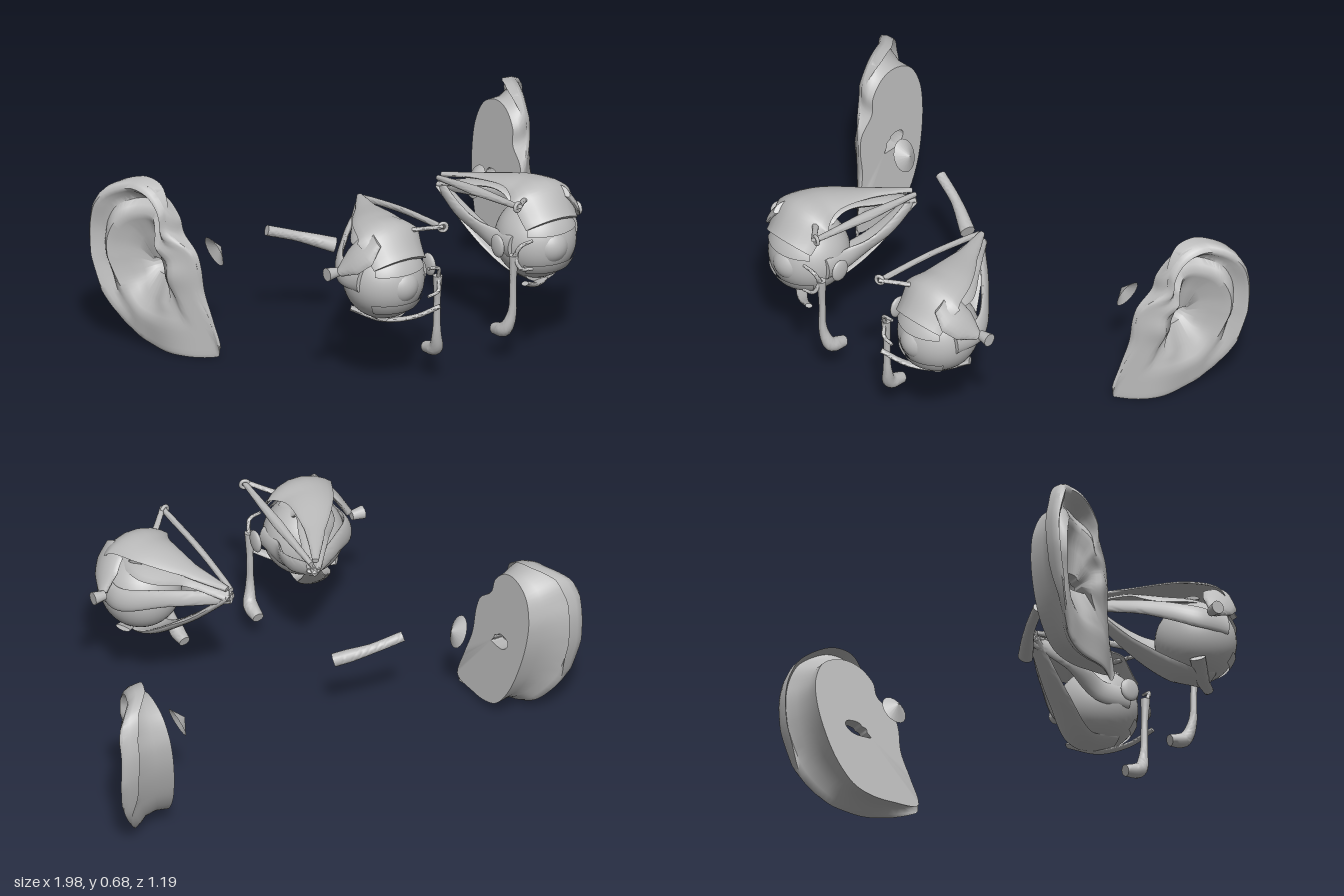
import * as THREE from 'three';
import { toCreasedNormals } from 'three/addons/utils/BufferGeometryUtils.js';

const EYE = new THREE.Vector3(0.35, 0.45, 0.43);
const APEX = new THREE.Vector3(0.18, 0.578, 0.045);
const V = (x, y, z) => new THREE.Vector3(x, y, z);
const step = THREE.MathUtils.smoothstep;

// Skin a list of equal-length closed rings into one surface
function loft(rings) {
  const n = rings[0].length, pos = [], idx = [];
  rings.forEach((r) => r.forEach((p) => pos.push(p.x, p.y, p.z)));
  for (let i = 0; i < rings.length - 1; i++) {
    for (let j = 0; j < n; j++) {
      const a = i * n + j, b = i * n + ((j + 1) % n);
      idx.push(a, b, a + n, b, b + n, a + n);
    }
  }
  const g = new THREE.BufferGeometry();
  g.setAttribute('position', new THREE.Float32BufferAttribute(pos, 3));
  g.setIndex(idx);
  return g;
}

// Strap or tube along a curve, bent around the eyeball across its width
function strap(points, widths, thick) {
  const curve = new THREE.CatmullRomCurve3(points);
  const rings = [], steps = 32, sides = 18, last = widths.length - 1;
  for (let i = 0; i <= steps; i++) {
    const u = i / steps, p = curve.getPoint(u), t = curve.getTangent(u);
    const k = Math.min(Math.floor(u * last), last - 1);
    const w = THREE.MathUtils.lerp(widths[k], widths[k + 1], u * last - k);
    const h = Math.min(w, thick), reach = p.distanceTo(EYE);
    const across = p.clone().sub(EYE).cross(t).normalize();
    const out = t.clone().cross(across);
    const ring = (s) => Array.from({ length: sides }, (_, j) => {
      const a = (j / sides) * Math.PI * 2, bend = (w * s * Math.cos(a)) / reach;
      return p.clone().addScaledVector(across, reach * Math.sin(bend))
        .addScaledVector(out, h * s * Math.sin(a) - reach * (1 - Math.cos(bend)));
    });
    if (i === 0) rings.push(ring(0));
    rings.push(ring(1));
    if (i === steps) rings.push(ring(0));
  }
  return toCreasedNormals(loft(rings), 1);
}

// Straight eye muscle: from the socket apex onto the ball at an angle about its axis
function straightMuscle(angle, wide) {
  const out = V(Math.cos(angle), Math.sin(angle), 0);
  const onBall = (dz, r) => EYE.clone().addScaledVector(out, r).add(V(0, 0, dz));
  const touch = onBall(-0.08, 0.15);
  const middle = APEX.clone().lerp(touch, 0.52).addScaledVector(out, 0.025);
  return strap([APEX, middle, touch, onBall(0.05, 0.15)], [0.026, wide * 0.7, wide, wide], 0.012);
}

// Outer ear: from the flat inner cut, round the rim, into the hollow and canal
function earGeometry() {
  const outline = [
    [-0.373, 0.66], [-0.315, 0.59], [-0.3, 0.506], [-0.23, 0.433], [-0.213, 0.37], [-0.21, 0.258],
    [-0.172, 0.13], [-0.15, 0.02], [-0.268, 0.008], [-0.363, 0.016], [-0.443, 0.05], [-0.515, 0.147],
    [-0.567, 0.29], [-0.59, 0.42], [-0.585, 0.53], [-0.54, 0.64], [-0.45, 0.68],
  ].map(([z, y]) => V(0, y, z));
  const edge = new THREE.CatmullRomCurve3(outline, true).getPoints(96).slice(0, -1);
  const centre = V(0, 0.325, -0.39);
  const cutX = (y, z) => 0.682 + 0.14 * y - 0.05 * (z + 0.16);
  const rimX = (y, z) => {
    const d = Math.max(0, -z - 0.16);
    const x = 0.695 + 0.78 * d + 0.04 * Math.sin(Math.PI * Math.min(1, d / 0.3));
    return Math.min(0.99, x) - 0.18 * Math.max(0, 0.36 - y) * step(d, 0.05, 0.25) - 0.3 * Math.max(0, y - 0.56);
  };
  const bump = (y, z, cy, cz, r) => Math.exp(-((y - cy) ** 2 + (z - cz) ** 2) / (r * r));

  const hole = (lift) => edge.map((p) => {
    const y = centre.y + (p.y - centre.y) * 0.09, z = centre.z + (p.z - centre.z) * 0.24;
    return V(cutX(y, z) + lift, y, z);
  });
  // back wall: scale, share of the way from cut to rim, extra lowering of the top
  const wall = (t, f, lower) => edge.map((p) => {
    const y = 0.34 + (p.y - 0.34) * (t - lower * step(p.y, 0.4, 0.65)), z = -0.16 + (p.z + 0.16) * t;
    const c = cutX(y, z);
    return V(c + Math.max(0.012 * f, rimX(p.y, p.z) - c) * f, y, z);
  });
  // rows: scale, depth of the rim fold, depth of the hollow
  const rows = [
    [1, 0.055, 0.012], [0.99, 0.025, 0.005], [0.96, 0.006, 0], [0.91, 0, 0], [0.87, 0.012, 0], [0.83, 0.04, 0],
    [0.77, 0.055, 0], [0.7, 0.035, 0], [0.62, 0.012, 0.005], [0.55, 0.008, 0.025], [0.47, 0.005, 0.06], [0.36, 0, 0.09],
  ];
  const face = rows.map(([t, fold, hollow]) => edge.map((p) => {
    const q = centre.clone().lerp(p, t);
    const w = step(p.y, 0.05, 0.35) * step(-p.z, 0.24, 0.4);
    const deep = (0.5 + 0.5 * step(-p.z, 0.2, 0.4)) * (0.5 + 0.5 * step(p.y, 0, 0.25));
    let x = rimX(q.y, q.z) - fold * w - hollow * deep;
    x -= 0.05 * bump(q.y, q.z, 0.55, -0.4, 0.07) * (1 - step(t, 0.75, 0.97));
    x += 0.015 * bump(q.y, q.z, 0.33, -0.28, 0.05);
    return q.setX(Math.max(x, cutX(q.y, q.z) + 0.01));
  }));
  return toCreasedNormals(loft([
    hole(0), wall(0.92, 0, 0.1), wall(0.9, 0.3, 0.06), wall(0.92, 0.6, 0), wall(0.97, 0.78, 0),
    ...face, hole(0.05), hole(0),
  ]), 0.95);
}

export function createModel() {
  const model = new THREE.Group();
  model.name = 'eyesAndEars';
  const grey = new THREE.MeshStandardMaterial({ color: 0xbbbbbb, side: THREE.DoubleSide });
  grey.name = 'grey';
  const add = (parent, name, geo, at = V(0, 0, 0)) => {
    const m = new THREE.Mesh(geo, grey);
    m.name = name;
    m.position.copy(at);
    parent.add(m);
    return m;
  };

  // Parts shared by both sides
  const tearChannel = (s) => strap(
    [V(0.175, 0.445, 0.54), V(0.19, 0.445 + s * 0.045, 0.56), V(0.24, 0.445 + s * 0.057, 0.565)], [0.009, 0.006], 0.008);
  const shared = {
    outerEar: earGeometry(),
    superiorMuscle: straightMuscle(1.57, 0.085),
    lateralMuscle: straightMuscle(0.25, 0.048),
    medialMuscle: straightMuscle(3.1, 0.045),
    inferiorMuscle: straightMuscle(-1.62, 0.075),
    lidLifter: strap(
      [V(0.19, 0.615, 0.05), V(0.27, 0.64, 0.2), V(0.34, 0.67, 0.37), V(0.35, 0.665, 0.48), V(0.35, 0.565, 0.57)],
      [0.012, 0.04, 0.1, 0.15, 0.13], 0.01),
    superiorOblique: strap([V(0.172, 0.605, 0.05), V(0.168, 0.635, 0.3), V(0.175, 0.655, 0.57)], [0.01, 0.02, 0.01], 0.012),
    obliqueTendon: strap([V(0.175, 0.66, 0.575), V(0.26, 0.637, 0.485), V(0.4, 0.605, 0.38)], [0.01, 0.012, 0.03], 0.008),
    inferiorOblique: strap(
      [V(0.195, 0.345, 0.58), V(0.28, 0.305, 0.53), V(0.37, 0.29, 0.45), V(0.46, 0.33, 0.37)],
      [0.014, 0.022, 0.03], 0.009),
    tearGland: strap([V(0.43, 0.64, 0.5), V(0.487, 0.578, 0.455), V(0.53, 0.5, 0.4)], [0.035, 0.075, 0.065, 0.02], 0.014),
    tearDuct: strap(
      [V(0.175, 0.45, 0.535), V(0.175, 0.33, 0.53), V(0.173, 0.21, 0.525), V(0.16, 0.145, 0.5), V(0.158, 0.125, 0.435)],
      [0.018, 0.013, 0.014, 0.022, 0.03, 0.022], 0.028),
    upperTearChannel: tearChannel(1),
    lowerTearChannel: tearChannel(-1),
  };

  for (const side of [1, -1]) {
    const half = new THREE.Group();
    half.name = side > 0 ? 'leftSide' : 'rightSide';
    half.scale.x = side;
    model.add(half);

    // Ear, muscles, gland and ducts
    Object.entries(shared).forEach(([name, geo]) => add(half, name, geo));

    // Eyeball, cornea and lids
    add(half, 'eyeball', new THREE.SphereGeometry(0.155, 40, 28), EYE);
    add(half, 'cornea', new THREE.SphereGeometry(0.075, 32, 20), V(0.345, 0.45, 0.521));
    add(half, 'upperLid', new THREE.SphereGeometry(0.164, 28, 8, 0.75, 1.65, 0.85, 0.37), EYE);
    add(half, 'lowerLid', new THREE.SphereGeometry(0.162, 28, 8, 0.65, 1.85, 1.95, 0.3), EYE);

    // Small parts beside the eye
    const pulley = add(half, 'pulley', new THREE.TorusGeometry(0.016, 0.007, 8, 16), V(0.172, 0.655, 0.565));
    pulley.rotation.y = 0.3;
    const sac = add(half, 'tearSac', new THREE.SphereGeometry(1, 16, 12), V(0.158, 0.465, 0.455));
    sac.scale.set(0.014, 0.045, 0.04);
    const knob = add(half, 'lateralKnob', new THREE.CylinderGeometry(0.026, 0.018, 0.05, 14), V(0.555, 0.498, 0.385));
    knob.rotation.z = -Math.PI / 2;

    // Eardrum
    const drum = add(half, 'eardrum', new THREE.ConeGeometry(0.066, 0.035, 20, 1, true), V(0.588, 0.375, -0.31));
    drum.rotation.z = 1.19;
    drum.scale.z = 0.75;
  }

  // Single tube leading inward from the right ear
  const tubePath = [V(-0.38, 0.41, -0.285), V(-0.26, 0.37, -0.25), V(-0.135, 0.325, -0.19)];
  add(model, 'earTube', strap(tubePath, [0.02, 0.02, 0.03], 0.026));
  return model;
}
